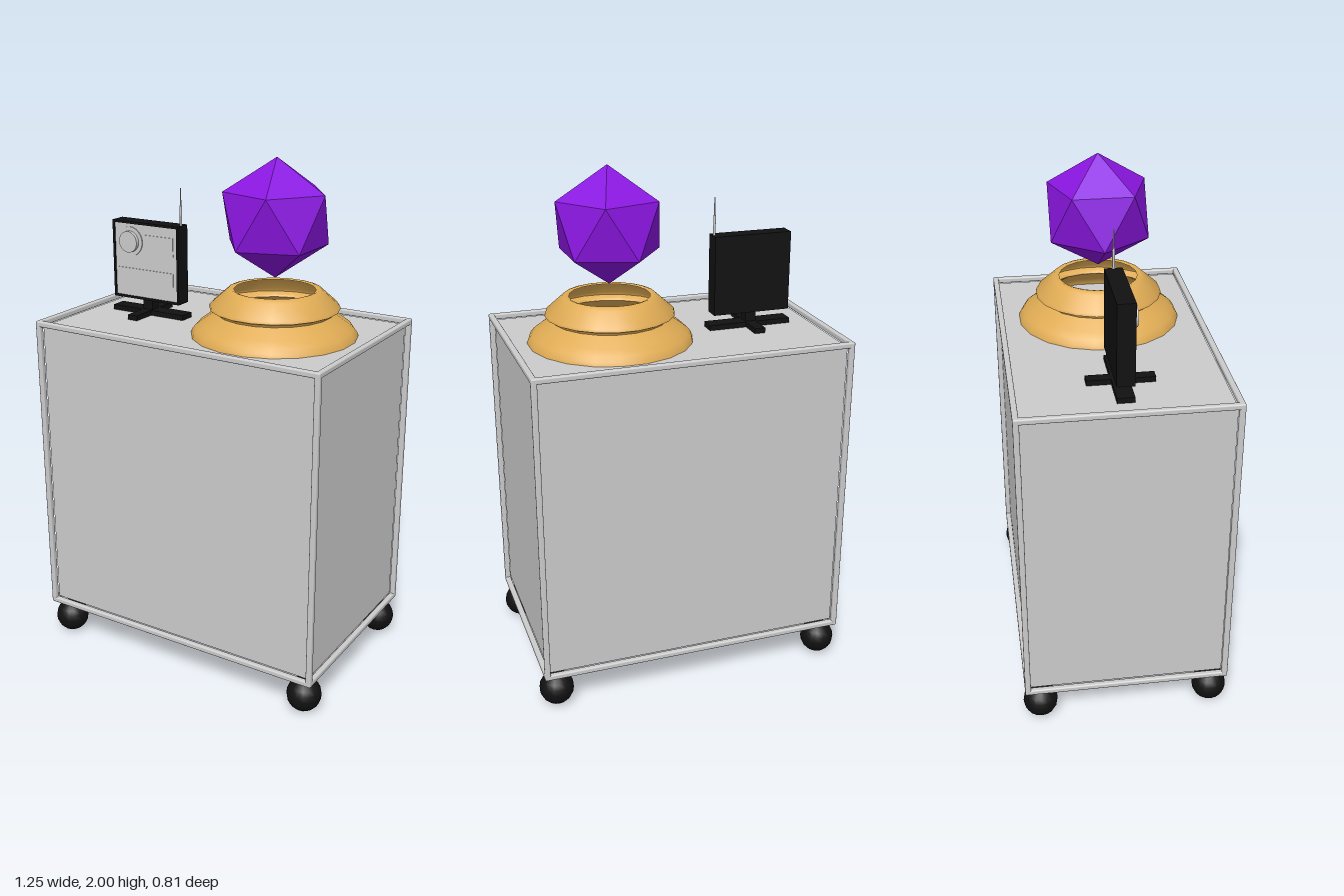
import * as THREE from 'three';
import { toCreasedNormals } from 'three/addons/utils/BufferGeometryUtils.js';
import { RoundedBoxGeometry } from 'three/addons/geometries/RoundedBoxGeometry.js';

const grey = new THREE.MeshStandardMaterial({ color: 0xcccccc });
const black = new THREE.MeshStandardMaterial({ color: 0x111111 });
const gold = new THREE.MeshStandardMaterial({ color: 0xe0ac55, side: THREE.DoubleSide });
const purple = new THREE.MeshStandardMaterial({ color: 0x8a16e0, flatShading: true });

function add(parent, name, geometry, material, x, y, z) {
  const mesh = new THREE.Mesh(geometry, material);
  mesh.name = name;
  mesh.position.set(x, y, z);
  parent.add(mesh);
  return mesh;
}

const box = (w, h, d) => new THREE.BoxGeometry(w, h, d);

// Cabinet: recessed panels held in a frame of twelve softened beams
function createCabinet() {
  const g = new THREE.Group();
  g.name = 'cabinet';
  const size = [1.224, 1.226, 0.794], beam = 0.022, recess = 0.022;
  g.position.set(-0.004, 0.753, 0);
  add(g, 'panels', box(...size.map((s) => s - 2 * recess)), grey, 0, 0, 0);
  for (let axis = 0; axis < 3; axis++) {
    const b = (axis + 1) % 3, c = (axis + 2) % 3;
    for (const sb of [-1, 1]) for (const sc of [-1, 1]) {
      const dims = [beam, beam, beam], pos = [0, 0, 0];
      dims[axis] = size[axis];
      pos[b] = sb * (size[b] - beam) / 2;
      pos[c] = sc * (size[c] - beam) / 2;
      add(g, 'frameBeam', new RoundedBoxGeometry(...dims, 2, 0.006), grey, ...pos);
    }
  }
  return g;
}

// Ball casters under the four corners
function createCasters() {
  const g = new THREE.Group();
  g.name = 'casters';
  for (const x of [-0.558, 0.553]) for (const z of [-0.336, 0.336])
    add(g, 'caster', new THREE.SphereGeometry(0.067, 16, 10), black, x, 0.067, z);
  return g;
}

// Hollow stepped pedestal with a floating crystal above it
function createCrystalStand() {
  const g = new THREE.Group();
  g.name = 'crystalStand';
  g.position.x = 0.215;
  const profile = [
    [0.316, 1.342], [0.311, 1.357], [0.298, 1.374], [0.272, 1.394], [0.238, 1.418],
    [0.221, 1.43], [0.224, 1.437], [0.246, 1.447], [0.243, 1.457],
    [0.186, 1.508], [0.176, 1.517], [0.165, 1.52], [0.153, 1.516],
  ].map(([r, y]) => new THREE.Vector2(r, y));
  const shell = new THREE.LatheGeometry(profile, 20, Math.PI / 20);
  add(g, 'pedestal', toCreasedNormals(shell, 0.75), gold, 0, 0, 0);

  // Turned so that one corner points straight up
  const crystal = new THREE.IcosahedronGeometry(0.22, 0);
  crystal.rotateZ(-Math.atan(2 / (1 + Math.sqrt(5))));
  add(g, 'crystal', crystal, purple, 0, 1.78, 0);
  return g;
}

// Small instrument on a cross-shaped foot
function createInstrument() {
  const g = new THREE.Group();
  g.name = 'instrument';
  add(g, 'footLong', box(0.334, 0.022, 0.064), black, -0.345, 1.353, 0);
  add(g, 'footCross', box(0.043, 0.022, 0.25), black, -0.35, 1.353, 0.004);
  add(g, 'neck', box(0.043, 0.06, 0.043), black, -0.35, 1.385, 0);

  // Case: a back block with a shallow rim around the face
  const cx = -0.349, cy = 1.557, w = 0.31, h = 0.308, rim = 0.009;
  add(g, 'caseBack', box(w, h, 0.058), black, cx, cy, -0.004);
  for (const s of [-1, 1]) {
    add(g, 'rimSide', box(rim, h, 0.008), black, cx + s * (w - rim) / 2, cy, 0.029);
    add(g, 'rimEdge', box(w, rim, 0.008), black, cx, cy + s * (h - rim) / 2, 0.029);
  }
  add(g, 'facePlate', box(w - 2 * rim, h - 2 * rim, 0.004), grey, cx, cy, 0.026);

  // Controls on the face
  add(g, 'display', box(0.13, 0.073, 0.006), grey, -0.285, 1.627, 0.028);
  add(g, 'lowerStrip', box(0.263, 0.053, 0.006), grey, -0.353, 1.498, 0.028);
  const disc = (r, d) => new THREE.CylinderGeometry(r, r, d, 24).rotateX(Math.PI / 2);
  add(g, 'dialBase', disc(0.058, 0.008), grey, -0.422, 1.632, 0.028);
  add(g, 'dialKnob', disc(0.042, 0.022), grey, -0.422, 1.632, 0.036);

  // Telescopic antenna
  add(g, 'antennaLower', new THREE.CylinderGeometry(0.005, 0.005, 0.08, 8), grey, -0.201, 1.748, 0);
  add(g, 'antennaUpper', new THREE.CylinderGeometry(0.0025, 0.0025, 0.07, 8), grey, -0.201, 1.82, 0);
  return g;
}

export function createModel() {
  const model = new THREE.Group();
  model.name = 'crystalCart';
  model.add(createCabinet(), createCasters(), createCrystalStand(), createInstrument());
  return model;
}
